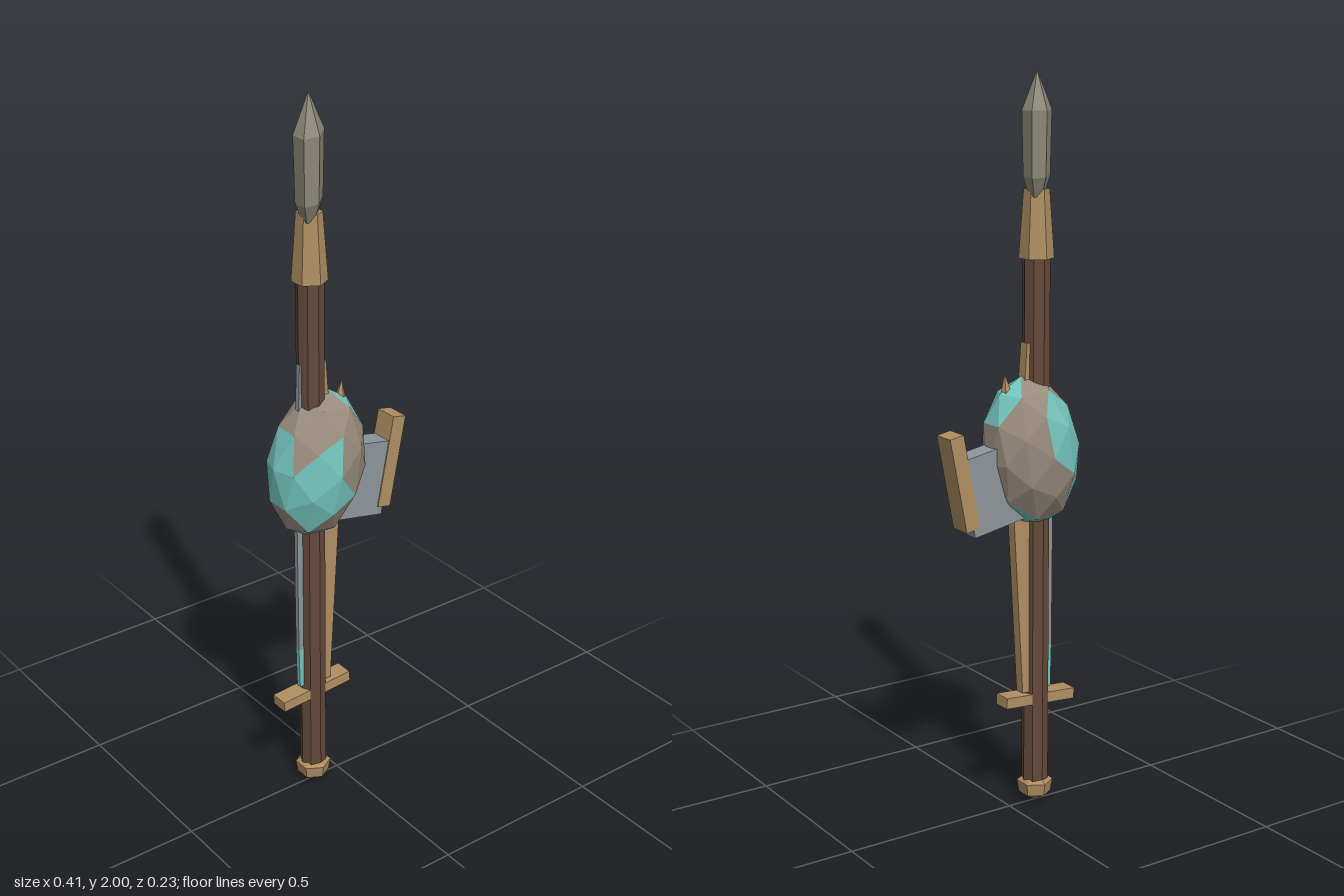
import * as THREE from 'three';

const material = (name, color) => {
  const m = new THREE.MeshStandardMaterial({ color, flatShading: true });
  m.name = name;
  return m;
};

export function createModel() {
  const model = new THREE.Group();
  const darkWood = material('darkWood', 0x65493a);
  const lightWood = material('lightWood', 0xb08f63);
  const stone = material('stone', 0x8f8a7a);
  const hide = material('hide', 0x978b7c);
  const teal = material('teal', 0x74c4bd);
  const metal = material('metal', 0x8d969b);

  const add = (name, geometry, mat, x = 0, y = 0, z = 0, tilt = 0) => {
    const mesh = new THREE.Mesh(geometry, mat);
    mesh.name = name;
    mesh.position.set(x, y, z);
    mesh.rotation.z = tilt;
    model.add(mesh);
    return mesh;
  };
  const lathe = (points, sides) =>
    new THREE.LatheGeometry(points.map(([r, y]) => new THREE.Vector2(r, y)), sides);
  const plate = (points, depth) => {
    const shape = new THREE.Shape(points.map(([x, y]) => new THREE.Vector2(x, y)));
    return new THREE.ExtrudeGeometry(shape, { depth, bevelEnabled: false }).translate(0, 0, -depth / 2);
  };

  // Spear: shaft, butt, collar and a flattened, turned stone head
  const sx = -0.085;
  add('shaft', new THREE.CylinderGeometry(0.037, 0.037, 1.5, 8), darkWood, sx, 0.79);
  add('buttCap', lathe([[0, 0], [0.044, 0.025], [0.05, 0.06], [0.03, 0.075], [0, 0.075]], 6), lightWood, sx);
  add('collar', new THREE.CylinderGeometry(0.034, 0.047, 0.18, 6), lightWood, sx, 1.61);
  const head = add('spearHead',
    lathe([[0, 1.67], [0.036, 1.68], [0.066, 1.73], [0.073, 1.9], [0, 2]], 6), stone, sx);
  head.geometry.rotateY(Math.PI / 6).scale(1, 1, 0.52);
  head.rotation.y = Math.PI / 4;

  // Bundled wooden stave and narrow blade beside the shaft
  add('stave', plate([[-0.085, 0.33], [-0.034, 0.33], [-0.006, 0.81], [-0.02, 0.95],
    [-0.046, 1.3], [-0.085, 1.3]], 0.03), lightWood);
  add('blade', plate([[-0.135, 0.45], [-0.085, 0.45], [-0.085, 1.3], [-0.124, 1.3],
    [-0.137, 0.9]], 0.014), metal);
  add('bladeBase', plate([[-0.132, 0.33], [-0.085, 0.33], [-0.085, 0.45], [-0.135, 0.45]], 0.014), teal);
  add('crossguard', new THREE.BoxGeometry(0.225, 0.03, 0.052), lightWood, -0.087, 0.307, 0, 0.07);
  add('staveTip', new THREE.ConeGeometry(0.02, 0.07, 5), lightWood, 0.012, 1.19, 0, -0.1);

  // Hammer block and its end bar
  add('hammerBlock', new THREE.BoxGeometry(0.19, 0.215, 0.06), metal, 0.055, 0.925, 0, -0.19);
  add('endBar', new THREE.BoxGeometry(0.042, 0.262, 0.066), lightWood, 0.16, 0.952, 0, -0.19);

  // Faceted bundle: each face is teal or hide according to its direction
  const ball = new THREE.IcosahedronGeometry(1, 1);
  const caps = [
    [-0.3, -0.25, 0.92, 0.84], [-0.78, 0.1, -0.6, 0.72], [-0.95, -0.2, 0.2, 0.88],
    [0.5, 0.86, 0, 0.87], [0.7, -0.7, 0, 0.9], [-0.1, -1, 0, 0.9],
  ].map(([x, y, z, limit]) => ({ dir: new THREE.Vector3(x, y, z).normalize(), limit }));
  const pos = ball.attributes.position;
  ball.clearGroups();
  for (let i = 0; i < pos.count; i += 3) {
    const centre = new THREE.Vector3();
    for (let k = 0; k < 3; k++) centre.add(new THREE.Vector3().fromBufferAttribute(pos, i + k));
    centre.normalize();
    ball.addGroup(i, 3, caps.some((c) => centre.dot(c.dir) > c.limit) ? 1 : 0);
  }
  ball.scale(0.139, 0.21, 0.115);
  add('bundle', ball, [hide, teal], -0.068, 1.005, 0, -0.15);

  return model;
}
